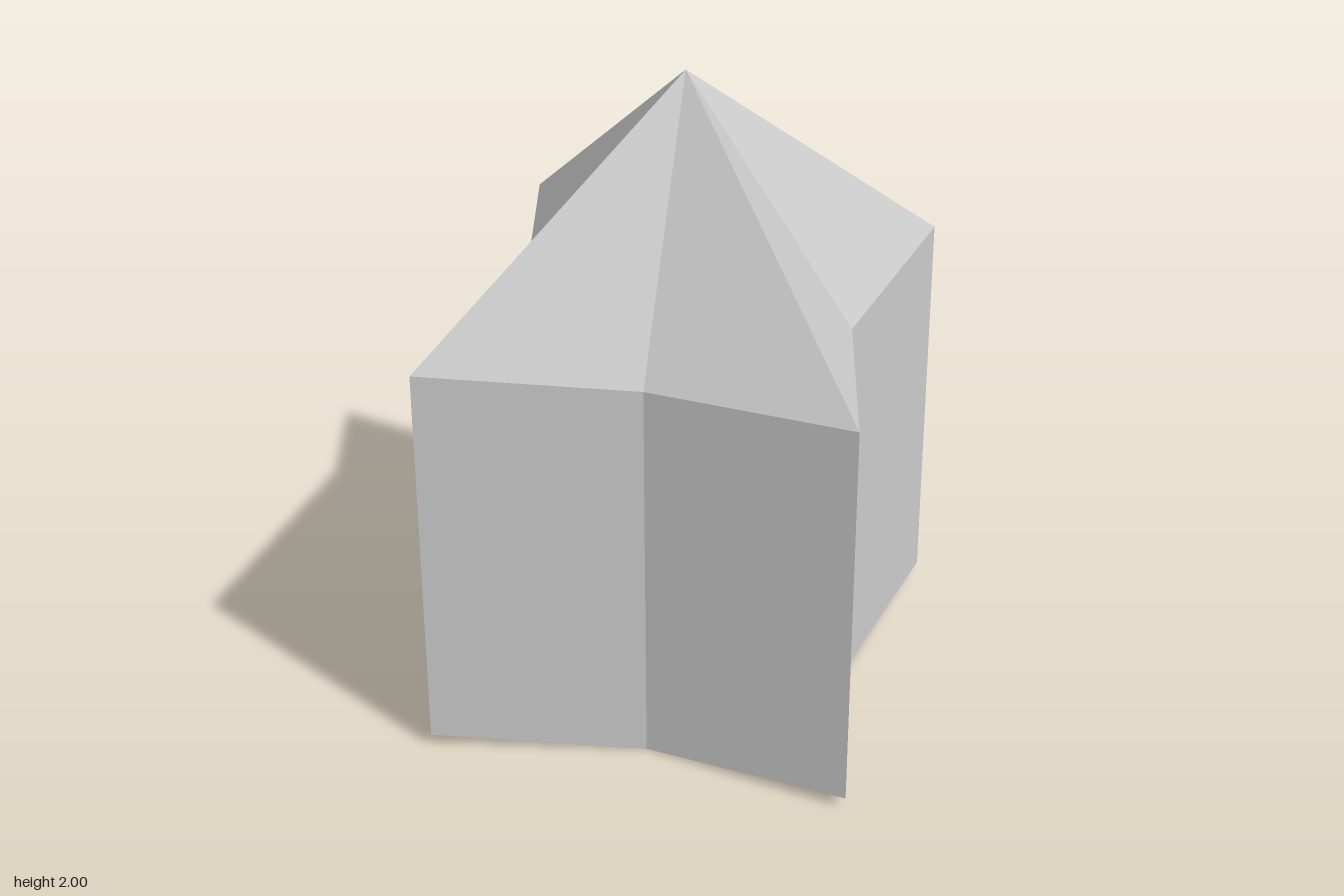
import * as THREE from 'three';

const SIDES = 8;
const TIP = 0.895; // radius of the four points
const VALLEY = 0.35 * Math.SQRT2; // radius of the inner corners

// Four-pointed star outline; the points sit slightly higher than the valleys
function starRing(y) {
  return Array.from({ length: SIDES }, (_, i) => {
    const a = (i / SIDES) * Math.PI * 2;
    const tip = i % 2 === 0;
    const r = tip ? TIP : VALLEY;
    return new THREE.Vector3(r * Math.cos(a), y + (tip ? 0.04 : 0), r * Math.sin(a));
  });
}

// Flat-faced geometry from the corners given for each of the eight sides
function facets(cornersOf) {
  const points = [];
  for (let i = 0; i < SIDES; i++) points.push(...cornersOf(i, (i + 1) % SIDES));
  const geometry = new THREE.BufferGeometry().setFromPoints(points);
  geometry.computeVertexNormals();
  return geometry;
}

export function createModel() {
  const grey = new THREE.MeshStandardMaterial({ color: 0xcccccc });
  grey.name = 'light grey';

  const eaves = starRing(1.24);
  const base = starRing(0);
  const apex = new THREE.Vector3(0, 2, 0);
  const baseCentre = new THREE.Vector3(0, 0.02, 0);

  const parts = {
    // Pointed star roof
    roof: facets((i, j) => [eaves[i], apex, eaves[j]]),
    // Upright star-shaped walls
    walls: facets((i, j) => [base[i], eaves[i], eaves[j], base[i], eaves[j], base[j]]),
    // Shallow hollow underside
    underside: facets((i, j) => [base[i], base[j], baseCentre]),
  };

  const model = new THREE.Group();
  model.name = 'starPrism';
  for (const [name, geometry] of Object.entries(parts)) {
    const mesh = new THREE.Mesh(geometry, grey);
    mesh.name = name;
    model.add(mesh);
  }
  return model;
}
